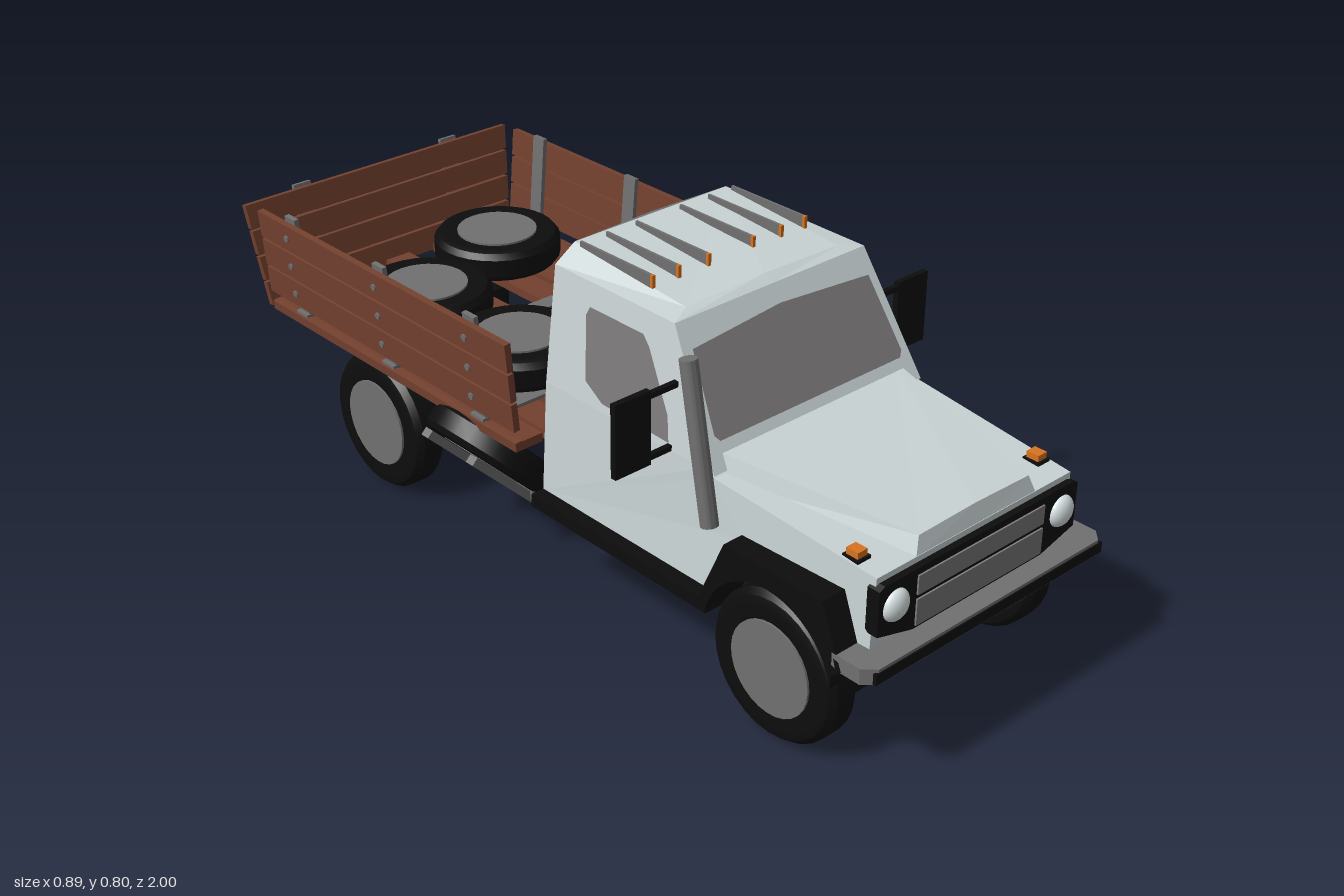
import * as THREE from 'three';
import { toCreasedNormals } from 'three/addons/utils/BufferGeometryUtils.js';

const mat = (name, color, side = THREE.FrontSide) => {
  const m = new THREE.MeshStandardMaterial({ color, side });
  m.name = name;
  return m;
};

export function createModel() {
  const paint = mat('pale paint', 0xc9d3d4);
  const black = mat('black', 0x0d0d0d);
  const metal = mat('grey metal', 0x707070);
  const glass = mat('tinted glass', 0x7c7a7a, THREE.DoubleSide);
  const wood = mat('brown wood', 0x74412f);
  const red = mat('red plastic', 0xc81e2a);
  const orange = mat('orange lens', 0xd97420);
  const lamp = mat('lamp lens', 0xdfe9ea);

  const truck = new THREE.Group();
  truck.name = 'truck';
  const add = (name, geo, material, parent = truck) => {
    const m = new THREE.Mesh(geo, material);
    m.name = name;
    parent.add(m);
    return m;
  };
  const group = (name, parent = truck) => {
    const g = new THREE.Group();
    g.name = name;
    parent.add(g);
    return g;
  };
  // box given by its low and high limits on each axis
  const box = (name, [x0, x1], [y0, y1], [z0, z1], material, parent) => {
    const m = add(name, new THREE.BoxGeometry(x1 - x0, y1 - y0, z1 - z0), material, parent);
    m.position.set((x0 + x1) / 2, (y0 + y1) / 2, (z0 + z1) / 2);
    return m;
  };
  const shape = (pts) => new THREE.Shape(pts.map(([a, b]) => new THREE.Vector2(a, b)));
  const extrude = (s, depth) => new THREE.ExtrudeGeometry(s, { depth, bevelEnabled: false, curveSegments: 10 });
  // outline in (z, y) swept from x0 to x1
  const sweepX = (s, x0, x1) => extrude(s, x1 - x0).rotateY(-Math.PI / 2).translate(x1, 0, 0);
  const rod = (name, a, b, r, material, parent) => {
    const A = new THREE.Vector3(...a), B = new THREE.Vector3(...b);
    const m = add(name, toCreasedNormals(new THREE.CylinderGeometry(r, r, A.distanceTo(B), 12), 0.7), material, parent);
    m.position.copy(A).add(B).multiplyScalar(0.5);
    m.quaternion.setFromUnitVectors(new THREE.Vector3(0, 1, 0), B.sub(A).normalize());
    return m;
  };
  // stacked rings, counter-clockwise seen from above, with a top cap
  const loft = (rings) => {
    const v = [], n = rings[0].length;
    for (let k = 0; k + 1 < rings.length; k++) {
      const a = rings[k], b = rings[k + 1];
      for (let i = 0; i < n; i++) {
        const j = (i + 1) % n;
        v.push(a[i], a[j], b[j], a[i], b[j], b[i]);
      }
    }
    const top = rings[rings.length - 1];
    for (let i = 1; i + 1 < n; i++) v.push(top[0], top[i], top[i + 1]);
    const g = new THREE.BufferGeometry();
    g.setAttribute('position', new THREE.Float32BufferAttribute(v.flat(), 3));
    g.computeVertexNormals();
    return g;
  };
  const ring = (xb, yb, zb, xf, yf, zf, crown = 0) => [
    [xb, yb, zb], [0, yb + crown, zb], [-xb, yb, zb], [-xf, yf, zf], [0, yf + crown, zf], [xf, yf, zf]];
  // flat outline placed on a surface by a rule
  const panel = (pts, place) => {
    const g = new THREE.ShapeGeometry(shape(pts));
    const p = g.attributes.position;
    for (let i = 0; i < p.count; i++) p.setXYZ(i, ...place(p.getX(i), p.getY(i)));
    g.computeVertexNormals();
    return g;
  };
  const wheel = (name, r, hw, parent = truck) => {
    const g = group(name, parent);
    const prof = [[0.62, -0.9], [0.84, -1], [0.93, -0.9], [1, -0.55], [1, 0.55], [0.93, 0.9], [0.84, 1], [0.62, 0.9]]
      .map(([a, b]) => new THREE.Vector2(a * r, b * hw));
    add('tyre', toCreasedNormals(new THREE.LatheGeometry(prof, 28), 0.5), black, g);
    add('hub', toCreasedNormals(new THREE.CylinderGeometry(r * 0.63, r * 0.63, hw * 2.05, 28), 0.7), metal, g);
    return g;
  };

  // Lower body with wheel arch notch, tapering to the nose
  const body = sweepX(shape([[0.02, 0.24], [0.53, 0.24], [0.61, 0.39], [0.86, 0.39], [0.91, 0.3],
    [0.94, 0.3], [0.94, 0.455], [0.53, 0.49], [0.5, 0.5], [0.02, 0.5]]), -1, 1);
  const bp = body.attributes.position;
  for (let i = 0; i < bp.count; i++) {
    const taper = Math.max(0, bp.getZ(i) - 0.5) * 0.045;
    bp.setX(i, bp.getX(i) * (0.315 - (bp.getY(i) - 0.24) * 0.058 - taper));
  }
  body.computeVertexNormals();
  add('lowerBody', body, paint);
  add('hood', loft([ring(0.285, 0.47, 0.48, 0.175, 0.45, 0.94), ring(0.27, 0.528, 0.48, 0.16, 0.492, 0.93, 0.004)]), paint);
  add('cab', loft([ring(0.3, 0.495, 0.02, 0.3, 0.495, 0.53), ring(0.268, 0.76, 0.02, 0.268, 0.76, 0.38),
    ring(0.215, 0.795, 0.02, 0.215, 0.768, 0.355, 0.005)]), paint);

  // Glazing
  add('windshield', panel([[-0.27, 0.56], [-0.26, 0.548], [0.26, 0.548], [0.27, 0.56], [0.25, 0.71], [0, 0.725], [-0.25, 0.71]],
    (x, y) => [x, y, 0.534 - 0.566 * (y - 0.495)]), glass);
  for (const s of [-1, 1]) {
    add('sideWindow', panel([[0.4, 0.515], [0.39, 0.57], [0.32, 0.69], [0.3, 0.71], [0.14, 0.71], [0.13, 0.69], [0.145, 0.55], [0.2, 0.52]],
      (z, y) => [s * (0.304 - 0.1208 * (y - 0.495)), y, z]), glass);
  }

  // Roof fins with marker lamps
  for (const x of [-0.215, -0.145, -0.063, 0.063, 0.145, 0.215]) {
    add('roofFin', sweepX(shape([[0.04, 0.785], [0.255, 0.765], [0.255, 0.803], [0.04, 0.803]]), x - 0.003, x + 0.003), metal);
    box('markerLamp', [x - 0.004, x + 0.004], [0.775, 0.803], [0.255, 0.262], orange);
  }

  // Nose
  add('grilleFrame', extrude(shape([[-0.29, 0.435], [-0.29, 0.335], [-0.19, 0.308], [0.19, 0.308], [0.29, 0.335], [0.29, 0.435], [0.275, 0.442], [-0.275, 0.442]]), 0.03)
    .translate(0, 0, 0.925), black);
  box('lowerGrille', [-0.185, 0.185], [0.315, 0.374], [0.95, 0.959], glass);
  box('upperGrille', [-0.185, 0.185], [0.384, 0.427], [0.95, 0.959], glass);
  const bumper = shape([[-0.35, 0.9], [0.35, 0.9], [0.35, 0.97], [0.325, 0.995], [-0.325, 0.995], [-0.35, 0.97]]);
  add('bumper', extrude(bumper, 0.035).rotateX(Math.PI / 2).translate(0, 0.303, 0), metal);
  box('bumperBar', [-0.335, 0.335], [0.272, 0.296], [0.99, 0.998], black);
  box('lowerBar', [-0.19, 0.19], [0.232, 0.262], [0.89, 0.92], metal);
  for (const s of [-1, 1]) {
    const h = add('headlight', new THREE.SphereGeometry(0.035, 20, 14), lamp);
    h.position.set(s * 0.243, 0.388, 0.953);
    h.scale.z = 0.6;
    box('signalBase', [s * 0.262 - 0.018, s * 0.262 + 0.018], [0.45, 0.466], [0.85, 0.89], black);
    box('turnSignal', [s * 0.262 - 0.013, s * 0.262 + 0.013], [0.464, 0.48], [0.855, 0.885], orange);
  }

  // Fenders, sills, mirrors
  const arch = shape([[0.53, 0.22], [0.61, 0.4], [0.87, 0.4], [0.925, 0.27], [0.9, 0.25]]);
  const cut = new THREE.Path();
  arch.lineTo(0.9, 0.22);
  arch.absarc(0.73, 0.18, 0.175, 0.25, Math.PI - 0.25, false);
  arch.closePath();
  for (const s of [-1, 1]) {
    const span = (a, b) => s > 0 ? [a, b] : [-b, -a];
    add('fender', sweepX(arch, ...span(0.25, 0.35)), black);
    box('sill', span(0.26, 0.348), [0.213, 0.243], [0.02, 0.56], black);
    const mirror = group('mirror');
    box('mirrorHousing', span(0.355, 0.447), [0.49, 0.655], [0.394, 0.408], black, mirror);
    box('mirrorGlass', span(0.362, 0.44), [0.5, 0.645], [0.389, 0.395], metal, mirror);
    for (const y of [0.505, 0.642]) box('mirrorArm', span(0.27, 0.36), [y - 0.006, y + 0.006], [0.395, 0.407], black, mirror);
    // Road wheels
    for (const z of [0.73, -0.57]) {
      const w = wheel(z > 0 ? 'frontWheel' : 'rearWheel', 0.166, 0.042);
      w.rotation.z = Math.PI / 2;
      w.position.set(s * 0.296, 0.166, z);
    }
    box('chassisRail', span(0.08, 0.125), [0.213, 0.29], [-0.8, 0.1], black);
  }

  // Chassis and exhaust stack
  box('engineGuard', [-0.25, 0.25], [0.14, 0.3], [0.6, 0.87], black);
  box('rearAxle', [-0.26, 0.26], [0.135, 0.2], [-0.61, -0.53], black);
  box('rearCrossbar', [-0.2, 0.2], [0.215, 0.288], [-0.8, -0.74], black);
  rod('exhaustStack', [-0.335, 0.41, 0.555], [-0.335, 0.75, 0.49], 0.019, metal);

  // Fuel tank with straps
  const tank = (o) => shape([[0.2 - o, 0.155], [0.215, 0.14 - o], [0.345, 0.14 - o], [0.37 + o, 0.16],
    [0.37 + o, 0.285], [0.345, 0.31 + o], [0.215, 0.31 + o], [0.2 - o, 0.295]]);
  add('fuelTank', extrude(tank(0), 0.34).translate(0, 0, -0.37), metal);
  for (const z of [-0.11, -0.29]) add('tankStrap', extrude(tank(0.006), 0.018).translate(0, 0, z - 0.009), metal);
  rod('fuelCap', [0.35, 0.3, -0.2], [0.38, 0.327, -0.2], 0.018, metal);

  // Slanted spare wheel and its carrier
  const spare = group('spareWheelCarrier');
  spare.position.set(-0.287, 0.242, -0.2);
  spare.rotation.z = -Math.PI / 4;
  wheel('spareWheel', 0.152, 0.036, spare);
  for (const z of [-0.08, 0.08]) box('carrierBar', [-0.11, 0.13], [-0.058, -0.038], [z - 0.012, z + 0.012], metal, spare);
  box('carrierFoot', [-0.25, -0.16], [0.13, 0.156], [-0.3, -0.1], metal);

  // Load bed
  const bed = group('loadBed');
  for (const [x, w] of [[-0.33, 0.065], [-0.25, 0.075], [-0.16, 0.075], [0, 0.07], [0.145, 0.07], [0.235, 0.075], [0.325, 0.065]])
    box('deckPlank', [x - w / 2, x + w / 2], [0.345, 0.366], [-0.93, 0], wood, bed);
  const posts = [-0.14, -0.465, -0.81];
  for (const z of posts) {
    box('deckStrap', [-0.365, 0.365], [0.366, 0.374], [z - 0.022, z + 0.022], metal, bed);
    box('crossBeam', [-0.15, 0.15], [0.288, 0.345], [z - 0.03, z + 0.03], black, bed);
  }
  for (const s of [-1, 1]) {
    const wall = group('sideWall', bed);
    wall.position.set(s * 0.362, 0.355, 0);
    wall.rotation.z = -s * 0.085;
    box('edgePlank', [-0.008, 0.008], [-0.01, 0.012], [-0.925, 0], wood, wall);
    for (let i = 0; i < 3; i++) {
      const y = 0.04 + i * 0.073;
      box('wallPlank', [-0.008, 0.008], [y, y + 0.067], [-0.925, 0], wood, wall);
      for (const z of posts) rod('bolt', [0, y + 0.033, z], [s * 0.012, y + 0.033, z], 0.008, metal, wall);
    }
    for (const z of posts) box('wallPost', [-s * 0.013 - 0.006, -s * 0.013 + 0.006], [0.01, 0.266], [z - 0.02, z + 0.02], metal, wall);
  }
  const gate = group('tailgate', bed);
  gate.position.set(0, 0.345, -0.945);
  gate.rotation.x = -0.16;
  for (let i = 0; i < 4; i++) {
    const y = i * 0.066, w = 0.365 + y * 0.1;
    add('gatePlank', extrude(shape([[-w, y], [w, y], [w + 0.006, y + 0.06], [-w - 0.006, y + 0.06]]), 0.016).translate(0, 0, -0.008), wood, gate);
  }
  for (const x of [-0.22, 0.22]) box('gatePost', [x - 0.024, x + 0.024], [-0.01, 0.266], [-0.018, -0.008], metal, gate);

  // Cargo
  for (const [x, z] of [[0.17, -0.74], [-0.145, -0.61], [-0.145, -0.265]])
    wheel('cargoWheel', 0.156, 0.04).position.set(x, 0.415, z);
  const barrel = [[0, 0], [0.075, 0], [0.105, 0.05], [0.119, 0.09], [0.119, 0.13], [0.085, 0.205], [0.085, 0.23], [0.07, 0.23], [0.066, 0.215], [0, 0.215]]
    .map(([a, b]) => new THREE.Vector2(a, b));
  add('barrel', toCreasedNormals(new THREE.LatheGeometry(barrel, 16), 0.45), red).position.set(0.19, 0.374, -0.2);

  return truck;
}
